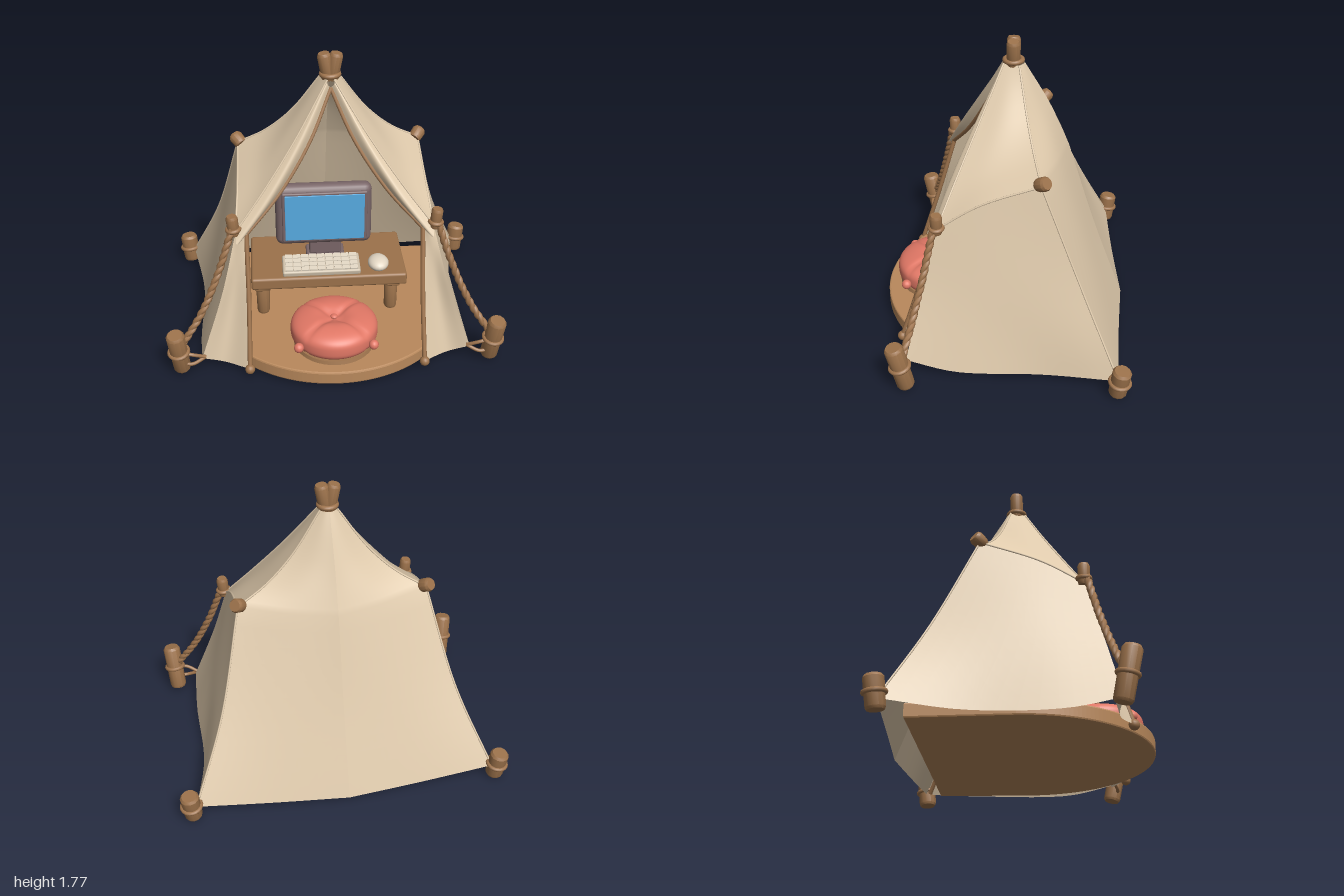
import * as THREE from 'three';
import { mergeGeometries, mergeVertices, toCreasedNormals } from 'three/addons/utils/BufferGeometryUtils.js';
import { RoundedBoxGeometry } from 'three/addons/geometries/RoundedBoxGeometry.js';

const V = (a) => new THREE.Vector3(...a);
const curve = (pts) => new THREE.CatmullRomCurve3(pts.map(V));
const flip = (pts, s) => pts.map(([x, y, z]) => [x * s, y, z]);

// Smooth sheet through rows of points
function loft(rows, nu = 14, nv = 12) {
  const sampled = rows.map((r) => curve(r).getPoints(nu));
  const pos = [], idx = [];
  for (let i = 0; i <= nu; i++) {
    const column = new THREE.CatmullRomCurve3(sampled.map((r) => r[i])).getPoints(nv);
    column.forEach((p) => pos.push(p.x, p.y, p.z));
  }
  for (let i = 0; i < nu; i++) for (let j = 0; j < nv; j++) {
    const a = i * (nv + 1) + j, b = a + nv + 1;
    idx.push(a, b, a + 1, b, b + 1, a + 1);
  }
  const g = new THREE.BufferGeometry();
  g.setAttribute('position', new THREE.Float32BufferAttribute(pos, 3));
  g.setIndex(idx);
  return g;
}

// Two strands wound tightly around a path
function ropeGeometry(pts, r) {
  const path = curve(pts), n = 80, turns = path.getLength() / (r * 5);
  const frames = path.computeFrenetFrames(n);
  return mergeGeometries([0, Math.PI].map((phase) => {
    const strand = [];
    for (let i = 0; i <= n; i++) {
      const a = phase + (i / n) * turns * Math.PI * 2;
      strand.push(path.getPointAt(i / n)
        .addScaledVector(frames.normals[i], Math.cos(a) * r * 0.3)
        .addScaledVector(frames.binormals[i], Math.sin(a) * r * 0.3));
    }
    return new THREE.TubeGeometry(new THREE.CatmullRomCurve3(strand), 120, r * 0.8, 7);
  }));
}

export function createModel() {
  const root = new THREE.Group();
  const mat = (name, color, side = THREE.FrontSide) => {
    const m = new THREE.MeshStandardMaterial({ color, side });
    m.name = name;
    return m;
  };
  const canvas = mat('canvas', 0xdec9ab, THREE.DoubleSide);
  const wood = mat('wood', 0x9c724b);
  const rope = mat('rope', 0xa0754e);
  const plank = mat('plank', 0xb9895c);
  const coral = mat('coral', 0xe27866);
  const plastic = mat('plastic', 0x7a6668);
  const blue = mat('screen blue', 0x57abe2);
  const cream = mat('cream', 0xe2d6c3);
  const darkCream = mat('dark cream', 0xcdbfa9);

  const add = (name, geo, m, x = 0, y = 0, z = 0) => {
    const mesh = new THREE.Mesh(geo, m);
    mesh.name = name;
    mesh.position.set(x, y, z);
    root.add(mesh);
    return mesh;
  };
  const box = (name, m, w, h, d, x, y, z, r = 0.012) =>
    add(name, new RoundedBoxGeometry(w, h, d, 2, r), m, x, y, z);
  const tube = (name, pts, r, m) => add(name, new THREE.TubeGeometry(curve(pts), 40, r, 8), m);

  // Chamfered log from a to b, with an optional rope ring at fraction t
  const log = (name, a, b, r, t) => {
    const A = V(a), d = V(b).sub(A), h = d.length();
    const prof = [[0, 0], [r * 0.82, 0], [r * 0.95, 0.014], [r, h - 0.016], [r * 0.8, h], [0, h]];
    const geo = new THREE.LatheGeometry(prof.map((p) => new THREE.Vector2(...p)), 12);
    const g = new THREE.Group();
    g.name = name;
    g.add(new THREE.Mesh(toCreasedNormals(geo, 0.6), wood));
    if (t !== undefined) {
      const ring = new THREE.Mesh(new THREE.TorusGeometry(r, 0.013, 8, 20).rotateX(Math.PI / 2), rope);
      ring.position.y = h * t;
      g.add(ring);
    }
    g.position.copy(A);
    g.quaternion.setFromUnitVectors(new THREE.Vector3(0, 1, 0), d.normalize());
    root.add(g);
  };

  // Rounded floor platform
  const floor = new THREE.Shape();
  floor.moveTo(-0.74, 0.56);
  floor.lineTo(-0.755, 0);
  floor.absellipse(0, 0, 0.755, 0.735, Math.PI, Math.PI * 2, false);
  floor.lineTo(0.74, 0.56);
  floor.closePath();
  add('floor', new THREE.ExtrudeGeometry(floor, {
    depth: 0.064, bevelSize: 0.01, bevelThickness: 0.01, bevelSegments: 2, curveSegments: 48,
  }).rotateX(-Math.PI / 2), plank, 0, 0.027, 0);

  // Edge lines shared by neighbouring canvas panels
  const frontEdge = [[0.02, 1.62, 0.01], [0.21, 1.32, 0.145], [0.4, 1.06, 0.265], [0.57, 0.85, 0.36]];
  const backEdge = [[0.05, 1.62, -0.08], [0.22, 1.38, -0.13], [0.38, 1.23, -0.175], [0.55, 1.13, -0.22]];
  const rearCorner = [[0.55, 1.13, -0.22], [0.7, 0.55, -0.46], [0.9, 0.07, -0.68]];
  const foreCorner = [[0.57, 0.85, 0.36], [0.66, 0.5, 0.45], [0.8, 0.09, 0.54]];
  const crease = [frontEdge[3], [0.555, 1.0, 0.12], backEdge[3]];
  const backShoulder = [backEdge[3], [0.27, 1.11, -0.315], [0, 1.1, -0.375]];
  const trimTop = [[0, 1.57, 0.005], [0.13, 1.29, 0.125], [0.31, 1.03, 0.245], [0.51, 0.83, 0.36]];
  const trimSide = [[0.51, 0.83, 0.36], [0.51, 0.45, 0.47], [0.52, 0.04, 0.6]];

  for (const s of [1, -1]) {
    // One or more lofts welded into a smooth sheet
    const sheet = (name, ...parts) => {
      const geo = mergeVertices(mergeGeometries(parts.map((rows) => loft(rows.map((r) => flip(r, s))))), 1e-4);
      geo.computeVertexNormals();
      add(name, geo, canvas);
    };
    const f = (p) => flip([p], s)[0];

    // Canvas panels
    sheet('roofPanel', [
      [frontEdge[0], backEdge[0]],
      [frontEdge[1], [0.235, 1.34, 0.015], backEdge[1]],
      [frontEdge[2], [0.405, 1.13, 0.08], backEdge[2]],
      crease]);
    sheet('sidePanel', [
      crease,
      [foreCorner[1], [0.69, 0.5, 0.1], rearCorner[1]],
      [foreCorner[2], [0.82, 0.03, 0.25], [0.82, 0.03, -0.25], rearCorner[2]]]);
    sheet('backPanel', [
      [backEdge[0], [0.025, 1.62, -0.1], [0, 1.62, -0.11]],
      [backEdge[1], [0.11, 1.38, -0.2], [0, 1.38, -0.25]],
      [backEdge[2], [0.19, 1.23, -0.265], [0, 1.23, -0.32]],
      backShoulder,
    ], [
      backShoulder,
      [rearCorner[1], [0.35, 0.55, -0.515], [0, 0.55, -0.55]],
      [rearCorner[2], [0.45, 0.04, -0.705], [0, 0.03, -0.74]]]);
    sheet('frontFlap', [
      [foreCorner[0], [0.54, 0.84, 0.38], trimSide[0]],
      [foreCorner[1], [0.6, 0.45, 0.43], trimSide[1]],
      [foreCorner[2], [0.67, 0.04, 0.52], trimSide[2]]]);
    sheet('rolledFlap', [
      frontEdge,
      [[0.02, 1.6, 0.02], [0.19, 1.3, 0.175], [0.37, 1.03, 0.305], [0.565, 0.79, 0.405]],
      trimTop]);

    // Sewn seams, opening trim and inner corner pole
    for (const e of [crease, backEdge, rearCorner, frontEdge]) tube('seam', flip(e, s), 0.006, canvas);
    tube('openingTrim', flip(trimTop, s), 0.012, rope);
    tube('flapTrim', flip(trimSide, s), 0.014, rope);
    tube('innerPole', flip(rearCorner.map(([x, y, z]) => [x - 0.022, y, z + 0.022]), s), 0.013, rope);
    add('flapWeight', new THREE.SphereGeometry(0.03, 12, 10), wood, s * 0.52, 0.04, 0.6);

    // Pegs, shoulder toggles and guy ropes
    log('frontPeg', f([0.922, 0.015, 0.525]), f([0.945, 0.305, 0.585]), 0.055, 0.5);
    log('rearPeg', f([0.92, 0.0, -0.675]), f([0.938, 0.18, -0.695]), 0.056, 0.5);
    log('frontToggle', f([0.58, 0.83, 0.36]), f([0.59, 0.955, 0.36]), 0.035, 0.3);
    log('rearToggle', f([0.525, 1.125, -0.2]), f([0.57, 1.162, -0.252]), 0.042);
    add('guyRope', ropeGeometry(flip([[0.59, 0.88, 0.375], [0.68, 0.62, 0.43], [0.79, 0.38, 0.49], [0.93, 0.17, 0.55]], s), 0.021), rope);
    for (const y of [0.08, 0.15])
      tube('cornerRope', flip([[0.78, 0.1, 0.54], [0.86, y - 0.01, 0.565], [0.93, y, 0.55]], s), 0.011, rope);

    // Crossed pole ends at the peak
    log('peakPole', [s * 0.01, 1.6, -0.045], [s * 0.038, 1.762, -0.045], 0.04);
  }
  add('peakLashing', new THREE.TorusGeometry(0.05, 0.015, 10, 24).rotateX(Math.PI / 2), rope, 0, 1.635, -0.045);

  // Low desk
  box('deskTop', wood, 0.96, 0.08, 0.5, -0.02, 0.35, -0.06, 0.016);
  for (const x of [-0.43, 0.37]) {
    box('deskBeam', wood, 0.1, 0.03, 0.46, x, 0.3, -0.06);
    for (const z of [0.11, -0.24]) log('deskLeg', [x, 0.1, z], [x, 0.3, z], 0.042);
  }

  // Computer display: case, screen plate, stand
  box('displayCase', plastic, 0.595, 0.415, 0.1, -0.04, 0.698, -0.07, 0.045);
  box('displayBack', plastic, 0.4, 0.28, 0.1, -0.04, 0.698, -0.13, 0.04);
  box('displayRim', plastic, 0.525, 0.345, 0.02, -0.035, 0.698, -0.018, 0.009);
  box('screen', blue, 0.49, 0.315, 0.008, -0.035, 0.698, -0.007, 0.003);
  box('displayNeck', plastic, 0.2, 0.1, 0.07, -0.03, 0.46, -0.08);
  box('displayFoot', plastic, 0.24, 0.03, 0.16, -0.03, 0.4, -0.08);

  // Keyboard with rows of keys
  const keyboard = new THREE.Group();
  keyboard.name = 'keyboard';
  keyboard.add(new THREE.Mesh(new RoundedBoxGeometry(0.48, 0.04, 0.17, 2, 0.012), darkCream));
  const keys = [];
  for (let r = 0; r < 4; r++) for (let c = 0; c < 9; c++)
    keys.push(new THREE.BoxGeometry(0.045, 0.014, 0.033).translate((c - 4) * 0.05, 0.022, (r - 1.5) * 0.038));
  keyboard.add(new THREE.Mesh(mergeGeometries(keys), cream));
  keyboard.position.set(-0.065, 0.413, 0.085);
  keyboard.rotation.x = 0.14;
  root.add(keyboard);

  // Mouse
  add('mouse', new THREE.SphereGeometry(1, 20, 14), cream, 0.29, 0.418, 0.09).scale.set(0.065, 0.042, 0.08);

  // Tufted round cushion on a flat base
  const puff = new THREE.SphereGeometry(1, 64, 40);
  const p = puff.attributes.position;
  for (let i = 0; i < p.count; i++) {
    const x = p.getX(i), y = p.getY(i), z = p.getZ(i), r = Math.hypot(x, z);
    const groove = Math.exp(-((Math.cos(2 * Math.atan2(z, x)) * r / 0.11) ** 2));
    const dimple = Math.exp(-((r / 0.22) ** 2));
    const k = 1 - 0.14 * groove - 0.25 * dimple;
    const wide = Math.pow(r, 0.75) / Math.max(r, 1e-4);
    p.setXYZ(i, x * wide * 0.262, Math.sign(y) * Math.abs(y) ** 0.65 * 0.1 * k, z * wide * 0.255);
  }
  puff.computeVertexNormals();
  add('cushion', puff, coral, -0.01, 0.195, 0.43);
  add('cushionBase', new THREE.CylinderGeometry(0.238, 0.245, 0.025, 40), rope, -0.01, 0.11, 0.43);
  add('cushionButton', new THREE.SphereGeometry(0.022, 12, 8), coral, -0.01, 0.265, 0.42).scale.y = 0.6;
  for (const s of [1, -1])
    add('cushionTassel', new THREE.SphereGeometry(0.03, 12, 10), coral, -0.01 + s * 0.22, 0.19, 0.61);

  return root;
}
